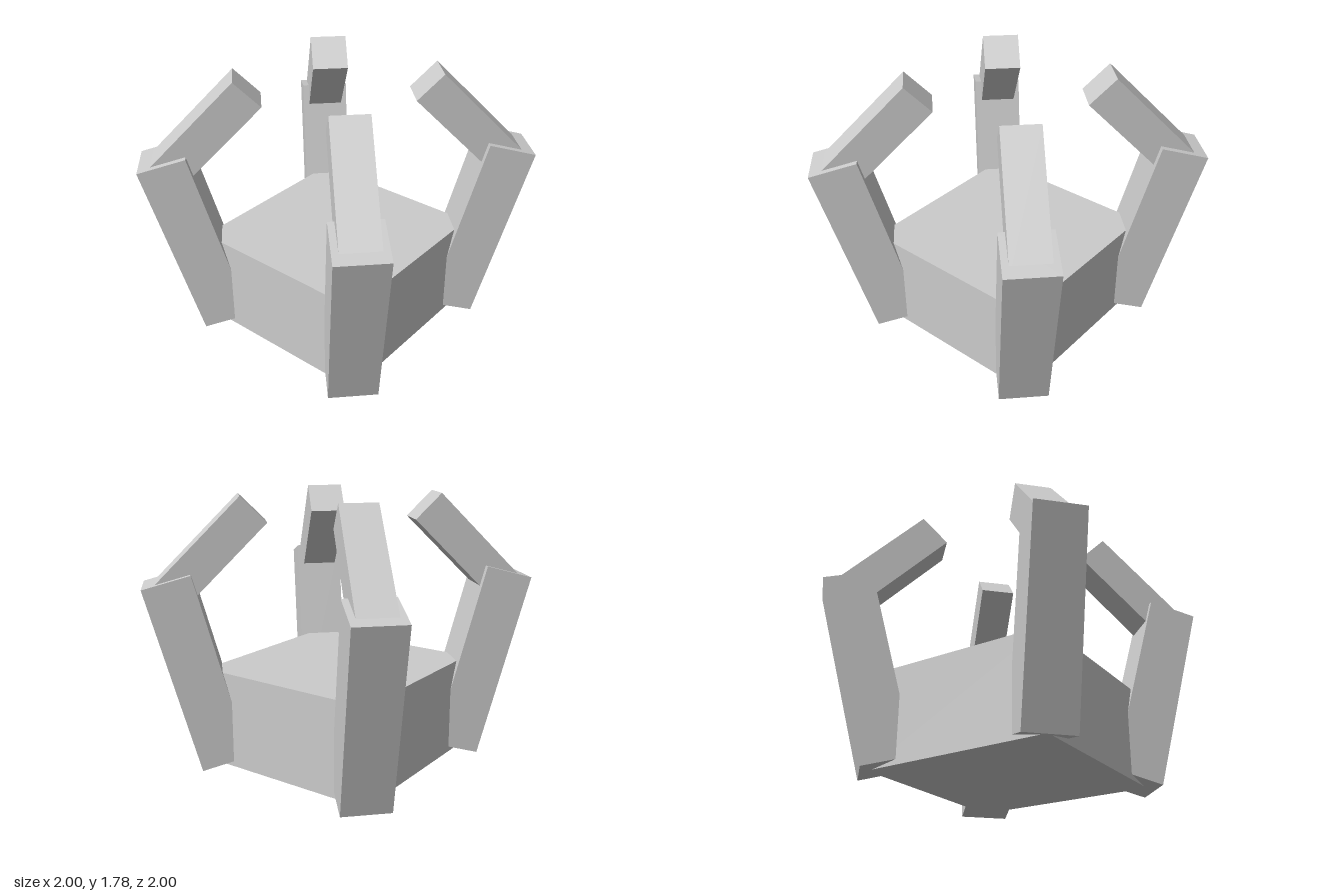
import * as THREE from 'three';

const material = new THREE.MeshStandardMaterial({ color: 0xcccccc, flatShading: true });

function box(name, w, h, d, x, y, tilt = 0) {
  const mesh = new THREE.Mesh(new THREE.BoxGeometry(w, h, d), material);
  mesh.name = name;
  mesh.position.set(x, y, 0);
  mesh.rotation.z = tilt;
  return mesh;
}

// One claw finger reaching out along +x, then bending back inwards
function makeFinger() {
  const finger = new THREE.Group();
  finger.name = 'finger';

  // Lower segment leans outwards, standing on its outer bottom edge
  const a = THREE.MathUtils.degToRad(15), s = Math.sin(a), c = Math.cos(a);
  const size = 0.315, length = 1.26, footRadius = 0.932;
  finger.add(box('lowerSegment', size, length, size,
    footRadius + s * length / 2 - c * size / 2,
    c * length / 2 + s * size / 2, -a));

  // Upper segment leans inwards, its root sunk into the lower one
  finger.add(box('upperSegment', 0.235, 0.812, 0.235, 0.844, 1.405, Math.PI / 4));
  return finger;
}

export function createModel() {
  const model = new THREE.Group();
  model.name = 'claw';

  // Palm block
  model.add(box('palm', 1.255, 0.63, 1.255, 0, 0.335));

  // Four fingers on the corners
  for (let i = 0; i < 4; i++) {
    const finger = makeFinger();
    finger.rotation.y = Math.PI / 4 + i * Math.PI / 2;
    model.add(finger);
  }
  return model;
}
